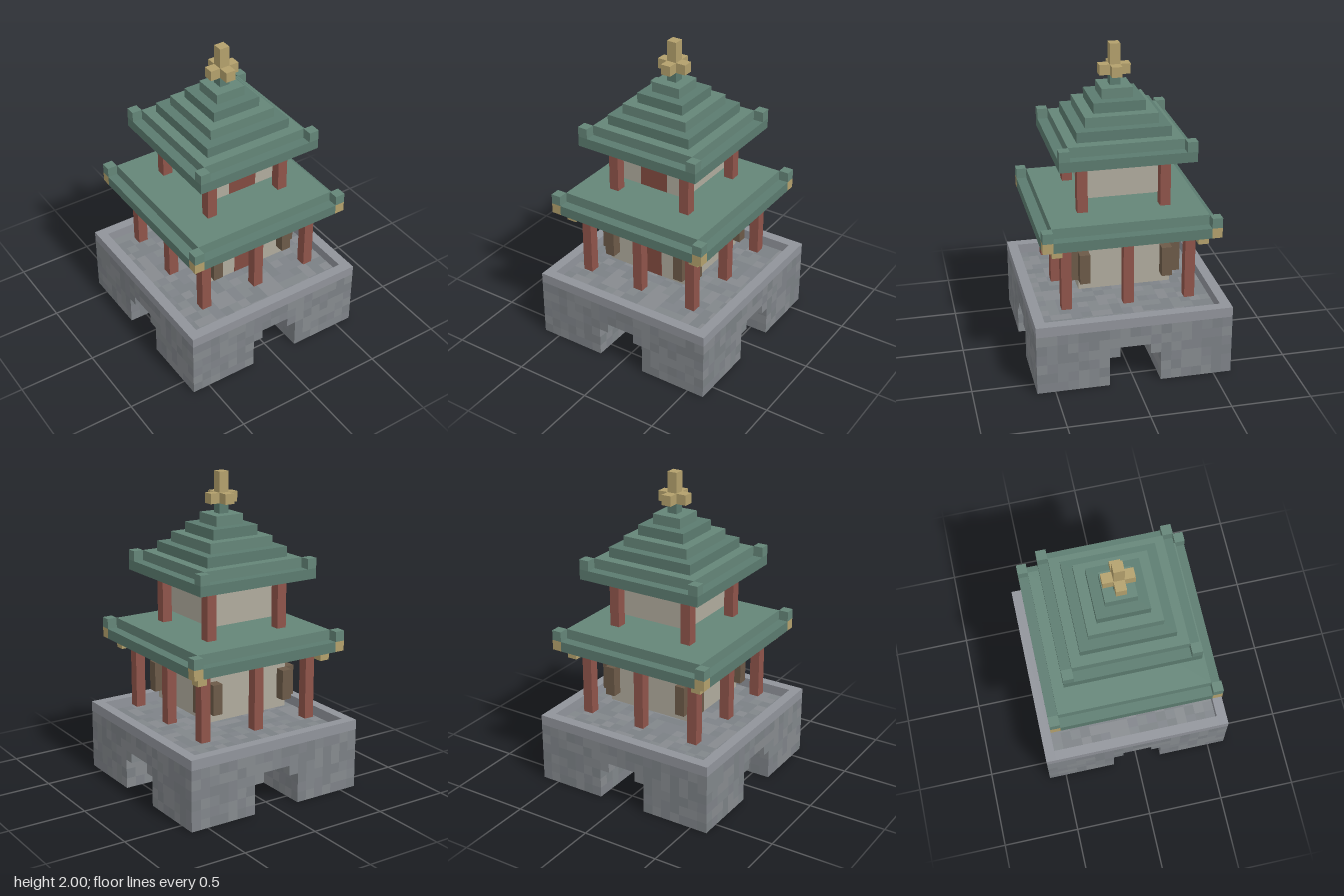
import * as THREE from 'three';
import { mergeGeometries } from 'three/addons/utils/BufferGeometryUtils.js';

const U = 2 / 31; // one block
const mat = (color) => new THREE.MeshStandardMaterial({ color, flatShading: true });
const M = {
  trim: mat(0x90939a), red: mat(0x8f544a), door: mat(0x824b40), wall: mat(0xb0ab9d),
  brown: mat(0x6c5a48), gold: mat(0xb3a06c), roofDark: mat(0x5b7b6f), roofLight: mat(0x648578),
  stones: [mat(0x7b8084), mat(0x81868a), mat(0x868a8e), mat(0x7e8288)],
};

// box from min/max corners, in blocks
function span(x0, x1, y0, y1, z0, z1) {
  return new THREE.BoxGeometry((x1 - x0) * U, (y1 - y0) * U, (z1 - z0) * U)
    .translate((x0 + x1) / 2 * U, (y0 + y1) / 2 * U, (z0 + z1) / 2 * U);
}
const slab = (r, y0, y1) => span(-r, r, y0, y1, -r, r);
const post = (x, z, y0, y1) => span(x - 0.5, x + 0.5, y0, y1, z - 0.5, z + 0.5);
const corners = (a, b, y0, y1) =>
  [-1, 1].flatMap((sx) => [-1, 1].map((sz) => post(sx * a, sz * b, y0, y1)));

// square ring one block thick with outer half width r
const ring = (r, y0, y1) => [-1, 1].flatMap((s) => {
  const c = s * (r - 0.5);
  return [
    span(-r, r, y0, y1, c - 0.5, c + 0.5),
    span(c - 0.5, c + 0.5, y0, y1, -r + 1, r - 1),
  ];
});

export function createModel() {
  const model = new THREE.Group();
  const add = (name, material, ...geos) => {
    const mesh = new THREE.Mesh(mergeGeometries(geos.flat()), material);
    mesh.name = name;
    model.add(mesh);
  };

  // stone base: mottled blocks with stepped passages crossing both ways
  const solid = (x, y, z) => {
    const a = Math.abs(x), b = Math.abs(z);
    if (a > 9 || b > 9 || y < 0 || y > 5) return false;
    const open = y < 3 ? 2 : y < 4 ? 1 : -1;
    return a > open && b > open;
  };
  let seed = 7;
  const rand = () => (seed = (seed * 16807) % 2147483647) / 2147483647;
  const shades = M.stones.map(() => []);
  for (let x = -9; x <= 9; x++) for (let y = 0; y < 6; y++) for (let z = -9; z <= 9; z++) {
    if (!solid(x, y, z)) continue;
    const buried = solid(x - 1, y, z) && solid(x + 1, y, z) && solid(x, y - 1, z)
      && solid(x, y + 1, z) && solid(x, y, z - 1) && solid(x, y, z + 1);
    if (!buried) shades[Math.floor(rand() * shades.length)].push(post(x, z, y, y + 1));
  }
  shades.forEach((geos, i) => add('stoneBase' + (i + 1), M.stones[i], geos));
  add('baseRim', M.trim, ring(9.5, 6, 7));

  // lower storey
  add('lowerPillars', M.red, corners(6, 6, 7, 14),
    [-6, 6].flatMap((c) => [post(c, 0, 7, 14), post(0, c, 7, 14)]));
  add('lowerWalls', M.wall, ring(4.5, 8, 13));
  add('lowerDoor', M.door, span(-1.5, 1.5, 8, 12, 4.4, 4.52));
  add('shutters', M.brown, corners(4, 5, 9, 12), corners(5, 4, 9, 12));

  // lower roof with upturned corners and gold brackets
  add('lowerEaves', M.roofDark, span(-7.5, 7.5, 14, 15, -8.5, 8.5),
    [-8, 8].map((c) => span(c - 0.5, c + 0.5, 14, 15, -7.5, 7.5)));
  add('lowerRoof', M.roofLight, slab(7.5, 15, 16), corners(8, 8, 15, 16));
  add('cornerBrackets', M.gold, corners(8, 8, 14, 15), corners(7, 7, 13, 14));

  // upper storey
  add('upperPillars', M.red, corners(4, 4, 16, 21));
  add('upperWalls', M.wall, ring(3.5, 17, 21));
  add('upperDoor', M.door, span(-1.5, 1.5, 17, 20, 3.4, 3.52));

  // stepped upper roof
  for (let i = 0; i < 7; i++)
    add('roofStep' + (i + 1), i % 2 ? M.roofLight : M.roofDark, slab(6.5 - i, 21 + i, 22 + i));
  add('upperRoofCorners', M.roofLight, corners(6, 6, 22, 23));

  // finial
  add('finial', M.gold, post(0, 0, 28, 31),
    [-1, 1].flatMap((c) => [post(c, 0, 28, 29), post(0, c, 28, 29)]));

  return model;
}
